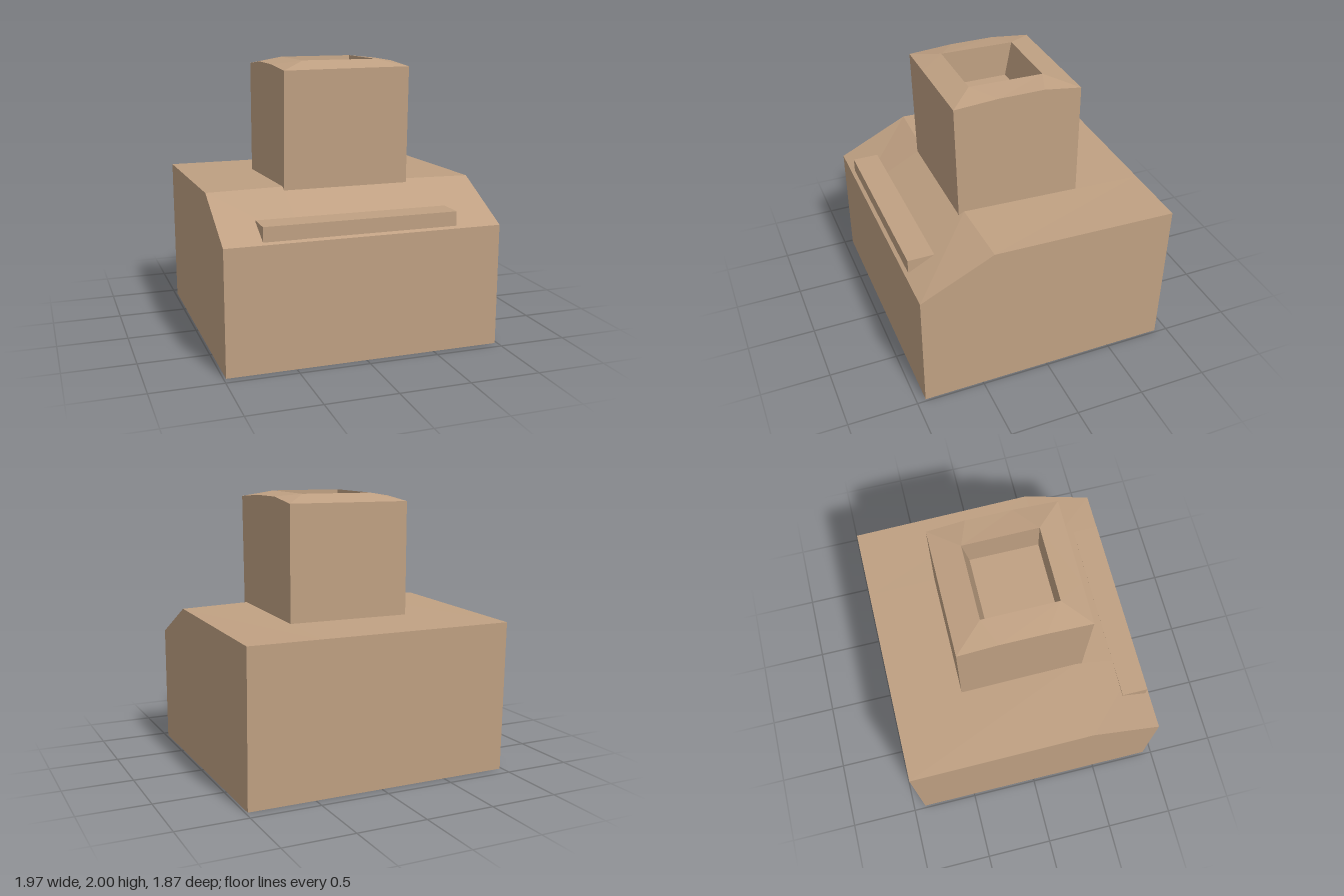
import * as THREE from 'three';

// Joins rings of points (counter-clockwise seen from the last ring's end) and caps both ends.
function loft(rings) {
  const pos = [];
  const tri = (a, b, c) => pos.push(...a, ...b, ...c);
  const n = rings[0].length;
  for (let i = 0; i < rings.length - 1; i++) {
    for (let j = 0; j < n; j++) {
      const k = (j + 1) % n;
      const a = rings[i][j], b = rings[i][k], c = rings[i + 1][k], d = rings[i + 1][j];
      tri(a, b, c);
      tri(a, c, d);
    }
  }
  const first = rings[0], last = rings[rings.length - 1];
  for (let j = 1; j < n - 1; j++) {
    tri(first[0], first[j + 1], first[j]);
    tri(last[0], last[j], last[j + 1]);
  }
  const geo = new THREE.BufferGeometry();
  geo.setAttribute('position', new THREE.Float32BufferAttribute(pos, 3));
  geo.computeVertexNormals();
  return geo;
}

export function createModel() {
  const model = new THREE.Group();
  model.name = 'blockModel';
  const tan = new THREE.MeshStandardMaterial({ color: 0xbfa082 });
  tan.name = 'tan';
  const add = (name, geo) => {
    const mesh = new THREE.Mesh(geo, tan);
    mesh.name = name;
    model.add(mesh);
    return mesh;
  };

  // Base block with sloped front shoulder; the ridge rises slightly in the middle
  const section = (x, ridgeY, ridgeZ) => [
    [x, 0, 0.935], [x, 0, -0.91], [x, 1.095, -0.935], [x, ridgeY, ridgeZ], [x, 0.875, 0.935],
  ];
  add('base', loft([
    section(-0.983, 1.13, 0.41),
    section(-0.44, 1.143, 0.43),
    section(0.47, 1.143, 0.43),
    section(0.983, 1.13, 0.41),
  ]));

  // Ledge set into the sloped front
  const ledge = (x) => [[x, 0.885, 0.91], [x, 0.885, 0.72], [x, 0.99, 0.72], [x, 0.99, 0.91]];
  add('ledge', loft([ledge(-0.715), ledge(0.66)]));

  // Tower: foot, bevelled top edge, raised rim and sunken floor
  const top = [
    [0.47, 1.955, 0.488], [0.47, 1.975, 0.17], [0.47, 1.975, -0.16], [0.47, 1.937, -0.432],
    [-0.443, 1.937, -0.432], [-0.443, 1.967, -0.15], [-0.443, 1.967, 0.17], [-0.443, 1.947, 0.488],
    [-0.15, 1.95, 0.488], [0.2, 1.953, 0.488],
  ];
  const foot = top.map(([x, , z]) => [x, 1.08, z > 0.4 ? 0.468 : z]);
  // Each top point joins its nearest opening corner
  const opening = (y, backY, back) => {
    const fl = [0.285, y, 0.31], bl = [0.285, backY, back];
    const br = [-0.255, backY, back], fr = [-0.255, y, 0.31];
    return [fl, fl, bl, bl, br, br, fr, fr, fr, fl];
  };
  add('tower', loft([foot, top, opening(2, 1.993, -0.228), opening(1.74, 1.74, -0.18)]));

  return model;
}
